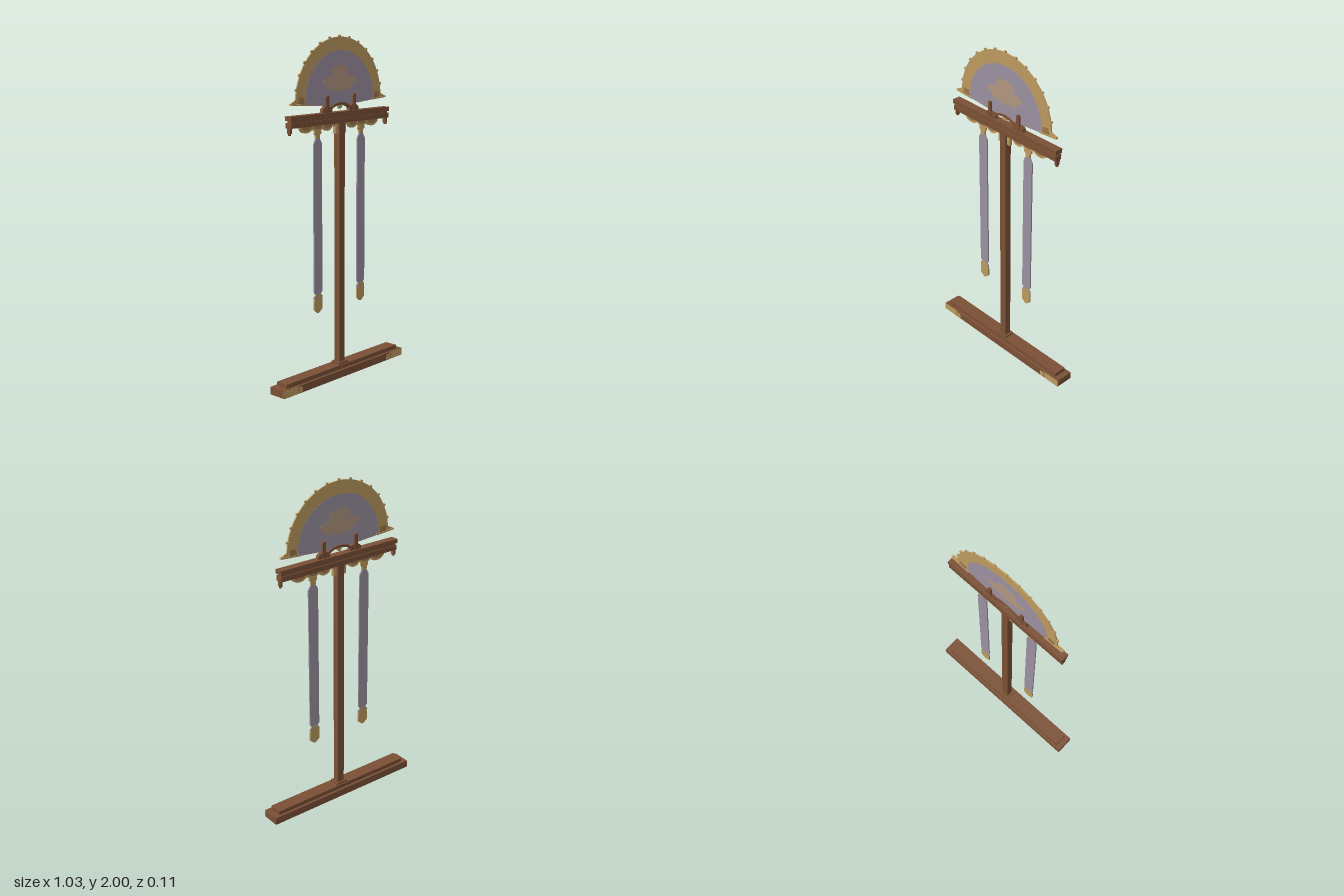
import * as THREE from 'three';

const material = (name, color) => {
  const m = new THREE.MeshStandardMaterial({ color });
  m.name = name;
  return m;
};

export function createModel() {
  const model = new THREE.Group();
  model.name = 'fanBannerStand';
  const wood = material('brown wood', 0x7a5035);
  const darkWood = material('dark wood', 0x6a4330);
  const gold = material('gold', 0xbd9a60);
  const cloth = material('lilac cloth', 0x9b90a0);
  const emblemTan = material('tan emblem', 0xb09580);
  const bronze = material('bronze', 0x9c7648);

  const add = (name, geometry, mat, x = 0, y = 0, z = 0) => {
    const mesh = new THREE.Mesh(geometry, mat);
    mesh.name = name;
    mesh.position.set(x, y, z);
    model.add(mesh);
    return mesh;
  };
  // Box given by half width, bottom, top and half depth
  const block = (name, mat, hw, y0, y1, hd, x = 0, z = 0) =>
    add(name, new THREE.BoxGeometry(hw * 2, y1 - y0, hd * 2), mat, x, (y0 + y1) / 2, z);
  // Flat plate centred on z = 0
  const plate = (name, mat, shape, depth, x = 0, y = 0) =>
    add(name, new THREE.ExtrudeGeometry(shape, { depth, bevelEnabled: false, curveSegments: 32 })
      .translate(0, 0, -depth / 2), mat, x, y);
  const polygon = (points) => new THREE.Shape(points.map(([x, y]) => new THREE.Vector2(x, y)));
  // Closed outline from its right half, listed top to bottom
  const mirrored = (half) => polygon([...half, ...half.slice().reverse().map(([x, y]) => [-x, y])]);

  // Hollow foot, open below
  block('footLid', wood, 0.516, 0.039, 0.045, 0.056);
  for (const s of [-1, 1]) {
    block('footLongWall', wood, 0.516, 0, 0.039, 0.003, 0, s * 0.053);
    block('footEndWall', wood, 0.003, 0, 0.039, 0.05, s * 0.513);
    // Gold inlay at the ends of the front wall
    block('footInlay', gold, 0.055, 0.001, 0.044, 0.004, s * 0.461, 0.053);
    block('footInlayTip', gold, 0.014, 0.004, 0.036, 0.004, s * 0.382, 0.053);
    block('footInlayBand', bronze, 0.005, 0.001, 0.044, 0.0042, s * 0.401, 0.053);
  }
  block('footStep', wood, 0.48, 0.045, 0.07, 0.04);
  block('postPlinth', wood, 0.038, 0.07, 0.082, 0.032);

  // Post and its bracket under the beam
  block('post', wood, 0.023, 0.082, 1.51, 0.02);
  plate('postBracket', gold, mirrored([[0.07, 1.505], [0.045, 1.49], [0.045, 1.445], [0.022, 1.445]]), 0.018);

  // Crossbeam with projecting rails
  block('beamCore', wood, 0.402, 1.507, 1.565, 0.016);
  block('beamTopRail', wood, 0.413, 1.545, 1.57, 0.024);
  block('beamBottomRail', wood, 0.409, 1.505, 1.534, 0.022);

  for (const s of [-1, 1]) {
    // End drops of the beam
    block('beamDrop', wood, 0.007, 1.475, 1.505, 0.012, s * 0.402);
    block('beamDropTip', darkWood, 0.004, 1.465, 1.475, 0.008, s * 0.402);

    // Scalloped valance
    for (const [cx, w, h] of [[0.275, 0.055, 0.038], [0.185, 0.05, 0.034], [0.105, 0.045, 0.038]]) {
      const scallop = new THREE.Shape();
      scallop.absellipse(0, 0, w, h, Math.PI, Math.PI * 2, false);
      plate('valanceScallop', gold, scallop, 0.012, s * cx, 1.506);
      const inset = new THREE.Shape();
      inset.absellipse(0, 0, w * 0.72, h * 0.65, Math.PI, Math.PI * 2, false);
      plate('valanceInset', bronze, inset, 0.016, s * cx, 1.506);
    }

    // Hanging banner with gold hanger and tip
    const bx = s * 0.183;
    plate('bannerHanger', gold, mirrored([[0.026, 1.475], [0.026, 1.458], [0.016, 1.45], [0.016, 1.43]]), 0.012, bx);
    plate('banner', cloth, mirrored([[0.014, 1.433], [0.033, 1.4], [0.033, 0.545], [0.02, 0.53],
      [0.033, 0.515], [0.033, 0.5]]), 0.008, bx);
    plate('bannerTip', gold, mirrored([[0.02, 0.53], [0.03, 0.5], [0.033, 0.49], [0.033, 0.44], [0.006, 0.418]]),
      0.0095, bx);

    // Cradle uprights and scrolled feet
    block('cradlePost', wood, 0.011, 1.57, 1.658, 0.016, s * 0.113);
    const cap = add('cradlePostCap', new THREE.CylinderGeometry(0.011, 0.011, 0.032, 16), wood, s * 0.113, 1.656, 0);
    cap.rotation.x = Math.PI / 2;
    plate('cradleFoot', wood, polygon([[0.07, 1.57], [0.152, 1.57], [0.147, 1.592], [0.13, 1.603],
      [0.09, 1.603], [0.075, 1.59]].map(([x, y]) => [s * x, y])), 0.024);
  }

  // Cradle arch
  const arch = new THREE.Shape();
  arch.absellipse(0, 0, 0.095, 0.052, 0, Math.PI, false);
  arch.absellipse(0, 0, 0.08, 0.038, Math.PI, 0, true);
  plate('cradleArch', wood, arch, 0.022, 0, 1.57);
  const pivot = add('fanPivot', new THREE.CylinderGeometry(0.014, 0.014, 0.014, 16), gold, 0, 1.6, 0);
  pivot.rotation.x = Math.PI / 2;

  // Fan: gold rim with flared lower corners
  const fanY = 1.635;
  const rim = new THREE.Shape();
  rim.moveTo(0, -0.035);
  rim.lineTo(0.39, -0.007);
  rim.lineTo(0.39, 0.003);
  rim.lineTo(0.354, 0.02);
  rim.absellipse(0, 0, 0.355, 0.355, 0.06, Math.PI - 0.06, false);
  rim.lineTo(-0.39, 0.003);
  rim.lineTo(-0.39, -0.007);
  plate('fanRim', gold, rim, 0.008, 0, fanY);

  // Fan cloth
  const leaf = new THREE.Shape();
  leaf.moveTo(0, -0.034);
  leaf.lineTo(0.285, -0.013);
  leaf.absellipse(0, 0, 0.285, 0.28, 0, Math.PI, false);
  leaf.lineTo(-0.285, -0.013);
  plate('fanCloth', cloth, leaf, 0.0095, 0, fanY);

  // Winged emblem
  plate('fanEmblem', emblemTan, mirrored([[0.02, 1.83], [0.055, 1.825], [0.068, 1.8], [0.06, 1.775],
    [0.1, 1.77], [0.13, 1.755], [0.14, 1.735], [0.105, 1.725], [0.1, 1.7], [0.075, 1.69], [0.05, 1.7], [0.025, 1.685]]), 0.011);

  // Studs round the rim
  for (let k = -6; k <= 6; k++) {
    const a = k * 13 * Math.PI / 180;
    const stud = add('fanStud', new THREE.BoxGeometry(0.013, 0.02, 0.01), gold,
      Math.sin(a) * 0.355, fanY + Math.cos(a) * 0.355, 0);
    stud.rotation.z = -a;
  }

  // Corner fittings and lower edge of the fan
  for (const s of [-1, 1]) {
    plate('fanCorner', bronze, polygon([[0.29, 1.628], [0.34, 1.632], [0.335, 1.67], [0.295, 1.665]]
      .map(([x, y]) => [s * x, y])), 0.012);
    plate('fanLowerEdge', gold, polygon([[0.27, 1.619], [0.395, 1.628], [0.395, 1.637], [0.27, 1.628]]
      .map(([x, y]) => [s * x, y])), 0.018);
  }
  return model;
}
